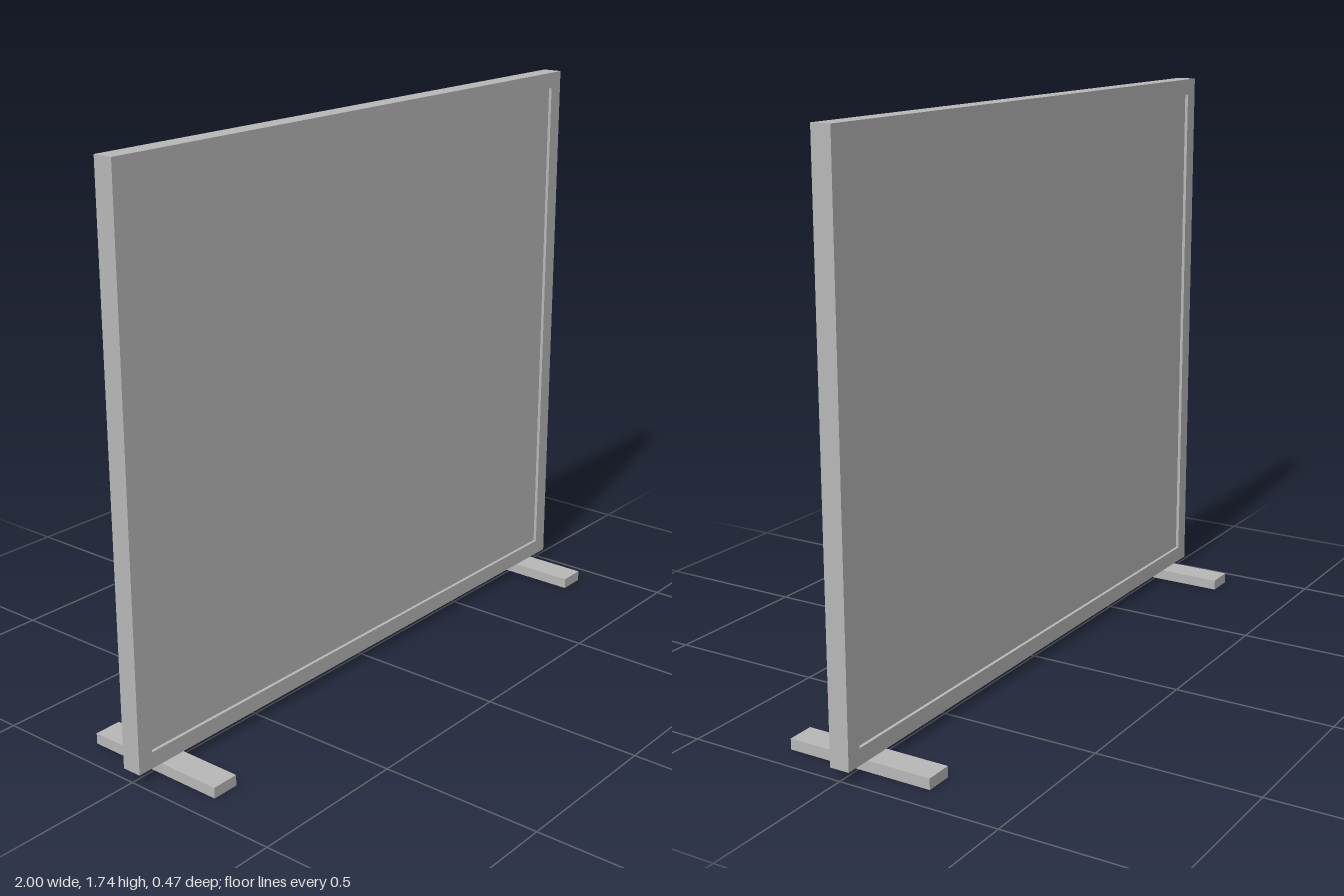
import * as THREE from 'three';

const BOTTOM = 0.033, TOP = 1.74, BORDER = 0.05, DEPTH = 0.062, RECESS = 0.01;

export function createModel() {
  const model = new THREE.Group();
  model.name = 'partitionScreen';
  const grey = new THREE.MeshStandardMaterial({ color: 0xb8b8b8 });
  grey.name = 'grey';

  const add = (name, geometry, x, y, z) => {
    const mesh = new THREE.Mesh(geometry, grey);
    mesh.name = name;
    mesh.position.set(x, y, z);
    model.add(mesh);
  };

  // Rectangle path inset from the outer edge of the screen
  const rectangle = (path, inset) => {
    const x = 1 - inset, y0 = BOTTOM + inset, y1 = TOP - inset;
    path.moveTo(-x, y0);
    path.lineTo(x, y0);
    path.lineTo(x, y1);
    path.lineTo(-x, y1);
    path.closePath();
    return path;
  };

  // Outer frame with one rectangular opening
  const outline = rectangle(new THREE.Shape(), 0);
  outline.holes.push(rectangle(new THREE.Path(), BORDER));
  add('frame', new THREE.ExtrudeGeometry(outline, { depth: DEPTH, bevelEnabled: false }), 0, 0, -DEPTH / 2);

  // Infill panel, set slightly back on both faces
  const width = 2 - 2 * BORDER, height = TOP - BOTTOM - 2 * BORDER;
  add('panel', new THREE.BoxGeometry(width, height, DEPTH - 2 * RECESS), 0, (TOP + BOTTOM) / 2, 0);

  // Crosswise feet under both ends
  for (const [side, name] of [[1, 'leftFoot'], [-1, 'rightFoot']]) {
    add(name, new THREE.BoxGeometry(0.086, BOTTOM, 0.466), side * 0.873, BOTTOM / 2, 0);
  }
  return model;
}
